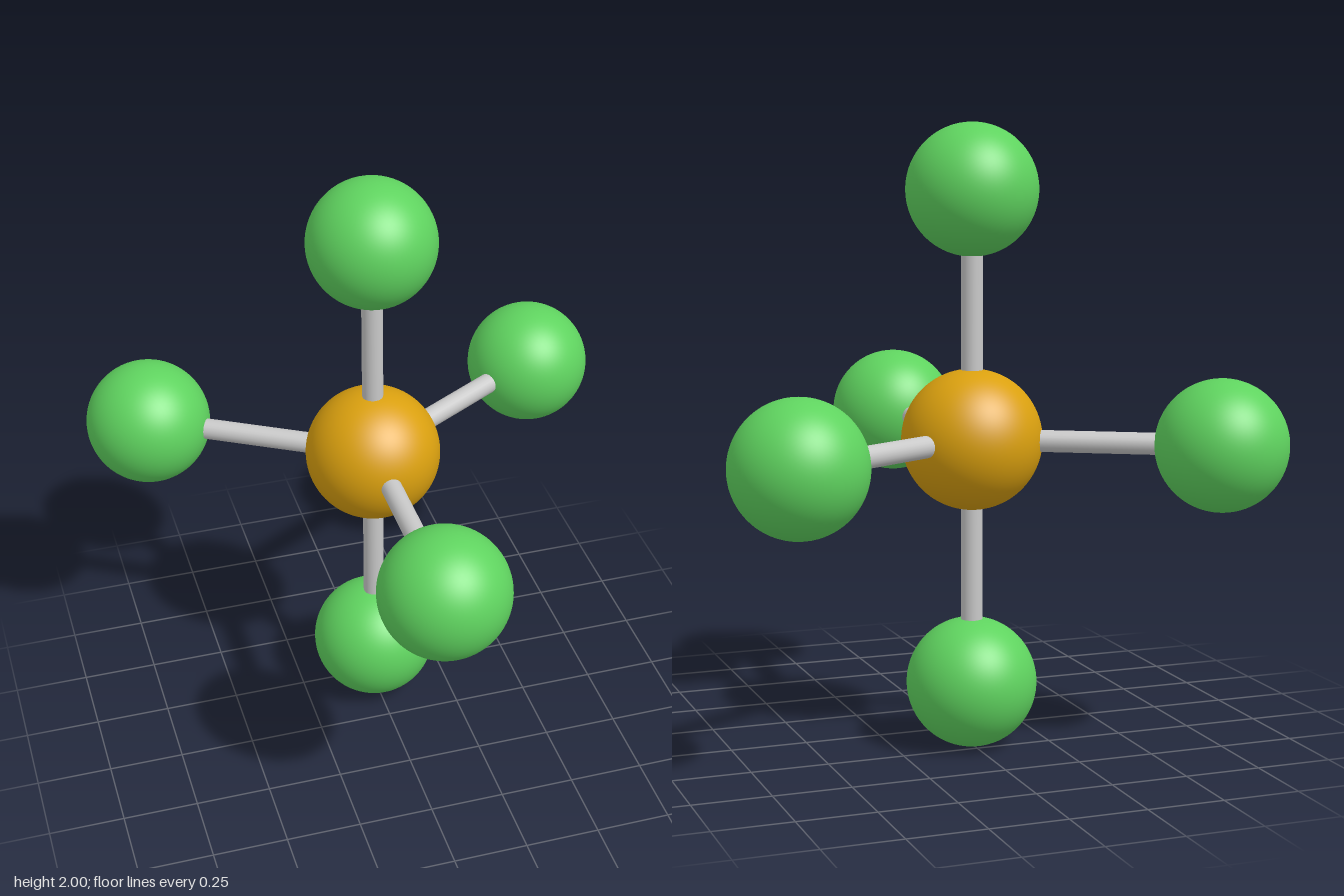
import * as THREE from 'three';

const material = (name, color) => Object.assign(new THREE.MeshStandardMaterial({ color }), { name });

export function createModel() {
  const model = new THREE.Group();
  model.name = 'trigonalBipyramidMolecule';

  const green = material('green', 0x5fd35f);
  const gold = material('gold', 0xdaa00f);
  const grey = material('light grey', 0xc8c8c8);

  const bondLength = 0.79;
  const outerRadius = 0.21;
  const center = new THREE.Vector3(0, 1, -bondLength / 4);

  // Central atom
  const core = new THREE.Mesh(new THREE.IcosahedronGeometry(0.225, 15), gold);
  core.name = 'centralAtom';
  core.position.copy(center);
  model.add(core);

  // Two axial directions and three equatorial ones, 120 degrees apart
  const up = new THREE.Vector3(0, 1, 0);
  const directions = [['top', up], ['bottom', up.clone().negate()]];
  ['front', 'backLeft', 'backRight'].forEach((name, i) => {
    const a = (i * Math.PI * 2) / 3;
    directions.push([name, new THREE.Vector3(Math.sin(a), 0, Math.cos(a))]);
  });

  const atomGeometry = new THREE.IcosahedronGeometry(outerRadius, 12);
  const bondGeometry = new THREE.CylinderGeometry(0.035, 0.035, bondLength, 24);

  // Outer atom and its bond along each direction
  for (const [name, dir] of directions) {
    const atom = new THREE.Mesh(atomGeometry, green);
    atom.name = name + 'Atom';
    atom.position.copy(center).addScaledVector(dir, bondLength);

    const bond = new THREE.Mesh(bondGeometry, grey);
    bond.name = name + 'Bond';
    bond.position.copy(center).addScaledVector(dir, bondLength / 2);
    bond.quaternion.setFromUnitVectors(up, dir);

    model.add(atom, bond);
  }
  return model;
}
